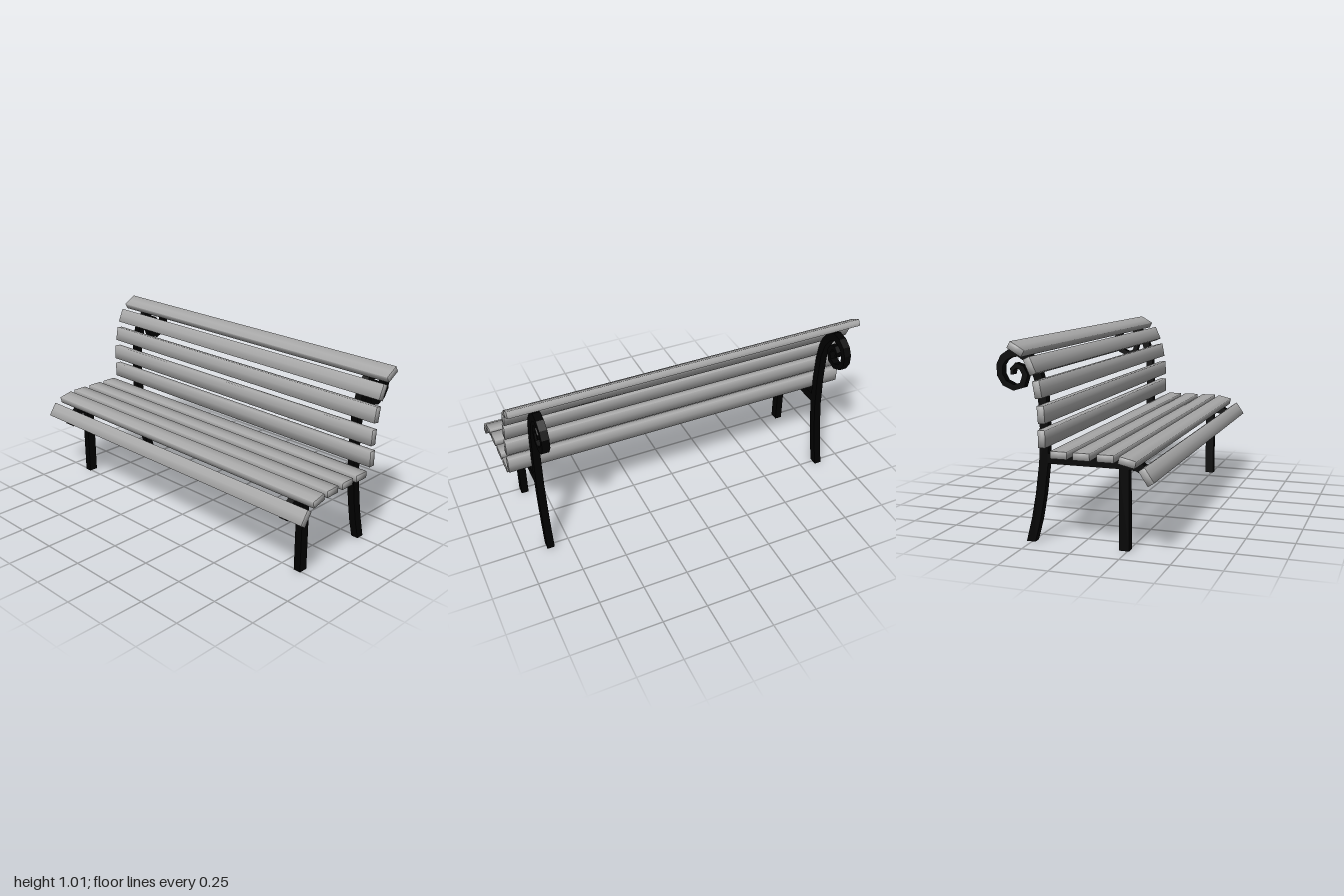
import * as THREE from 'three';

const wood = new THREE.MeshStandardMaterial({ color: 0xa8a8a8 });
const iron = new THREE.MeshStandardMaterial({ color: 0x000000 });
const IRON_DEPTH = 0.041;
const FRAME_X = 0.857;
const PLANK = { length: 2, thick: 0.036, wide: 0.084 };

// Bar of varying width along a side-profile path of [z, y, width], extruded along x
function ironBar(path) {
  const left = [], right = [];
  const pts = path.map(([z, y]) => new THREE.Vector2(z, y));
  path.forEach(([, , w], i) => {
    const p = pts[i];
    const a = p.clone().sub(pts[Math.max(i - 1, 0)]).normalize();
    const b = pts[Math.min(i + 1, pts.length - 1)].clone().sub(p).normalize();
    const t = a.clone().add(b).normalize();
    const seg = i === 0 ? b : a;
    const r = w / 2 / Math.max(t.dot(seg), 0.7); // mitred joint
    left.push(new THREE.Vector2(p.x - t.y * r, Math.max(p.y + t.x * r, 0)));
    right.push(new THREE.Vector2(p.x + t.y * r, Math.max(p.y - t.x * r, 0)));
  });
  const shape = new THREE.Shape([...left, ...right.reverse()]);
  const geo = new THREE.ExtrudeGeometry(shape, { depth: IRON_DEPTH, bevelEnabled: false });
  geo.translate(0, 0, -IRON_DEPTH / 2);
  geo.rotateY(-Math.PI / 2);
  return geo;
}

// Plank whose normals lean outwards towards the long edges, for a softly rounded look
function plankGeometry() {
  const geo = new THREE.BoxGeometry(PLANK.length, PLANK.thick, PLANK.wide, 1, 2, 2);
  const pos = geo.attributes.position, nor = geo.attributes.normal;
  const lean = 0.65;
  const n = new THREE.Vector3();
  for (let i = 0; i < pos.count; i++) {
    n.fromBufferAttribute(nor, i);
    if (n.y === 0) n.y = lean * pos.getY(i) / (PLANK.thick / 2);
    if (n.z === 0) n.z = lean * pos.getZ(i) / (PLANK.wide / 2);
    n.normalize();
    nor.setXYZ(i, n.x, n.y, n.z);
  }
  return geo;
}

// Rear leg, back upright and tapering scroll in one sweep
const UPRIGHT = [
  [-0.256, -0.006, 0.048], [-0.226, 0.115, 0.047], [-0.202, 0.243, 0.047], [-0.181, 0.403, 0.047],
  [-0.176, 0.58, 0.044], [-0.184, 0.755, 0.044], [-0.211, 0.848, 0.044], [-0.253, 0.912, 0.043],
  [-0.303, 0.942, 0.042], [-0.348, 0.936, 0.04], [-0.386, 0.912, 0.036], [-0.406, 0.877, 0.032],
  [-0.406, 0.829, 0.03], [-0.382, 0.789, 0.029], [-0.334, 0.768, 0.028], [-0.288, 0.782, 0.028],
  [-0.271, 0.832, 0.027], [-0.288, 0.866, 0.026], [-0.319, 0.877, 0.023], [-0.34, 0.859, 0.018],
  [-0.34, 0.833, 0.016],
];

// Seat rail curling down at the front
const RAIL = [
  [-0.176, 0.428, 0.05], [0.253, 0.428, 0.05], [0.303, 0.421, 0.048],
  [0.335, 0.4, 0.045], [0.359, 0.372, 0.038], [0.378, 0.344, 0.031],
];

const FRONT_LEG = [[0.233, 0, 0.051], [0.233, 0.42, 0.051]];

// Plank centres and tilt: [z, y, degrees above horizontal towards the back]
const SEAT = [
  [0.383, 0.404, 56], [0.29, 0.465, 13], [0.184, 0.476, 0], [0.064, 0.476, 0], [-0.05, 0.476, 0],
];
const BACK = [
  [-0.135, 0.548, 90], [-0.136, 0.664, 86], [-0.153, 0.782, 80], [-0.189, 0.891, 66], [-0.26, 0.969, 30],
];

export function createModel() {
  const bench = new THREE.Group();
  bench.name = 'parkBench';

  // Two matching iron side frames
  const parts = { rearUpright: ironBar(UPRIGHT), seatRail: ironBar(RAIL), frontLeg: ironBar(FRONT_LEG) };
  for (const [side, name] of [[1, 'leftFrame'], [-1, 'rightFrame']]) {
    const frame = new THREE.Group();
    frame.name = name;
    for (const [partName, geo] of Object.entries(parts)) {
      const mesh = new THREE.Mesh(geo, iron);
      mesh.name = partName;
      frame.add(mesh);
    }
    frame.position.x = side * FRAME_X;
    bench.add(frame);
  }

  // Seat and back planks
  const plank = plankGeometry();
  for (const [name, list] of [['seatSlat', SEAT], ['backSlat', BACK]]) {
    list.forEach(([z, y, deg], i) => {
      const mesh = new THREE.Mesh(plank, wood);
      mesh.name = name + (i + 1);
      mesh.position.set(0, y, z);
      mesh.rotation.x = THREE.MathUtils.degToRad(deg);
      bench.add(mesh);
    });
  }
  return bench;
}
